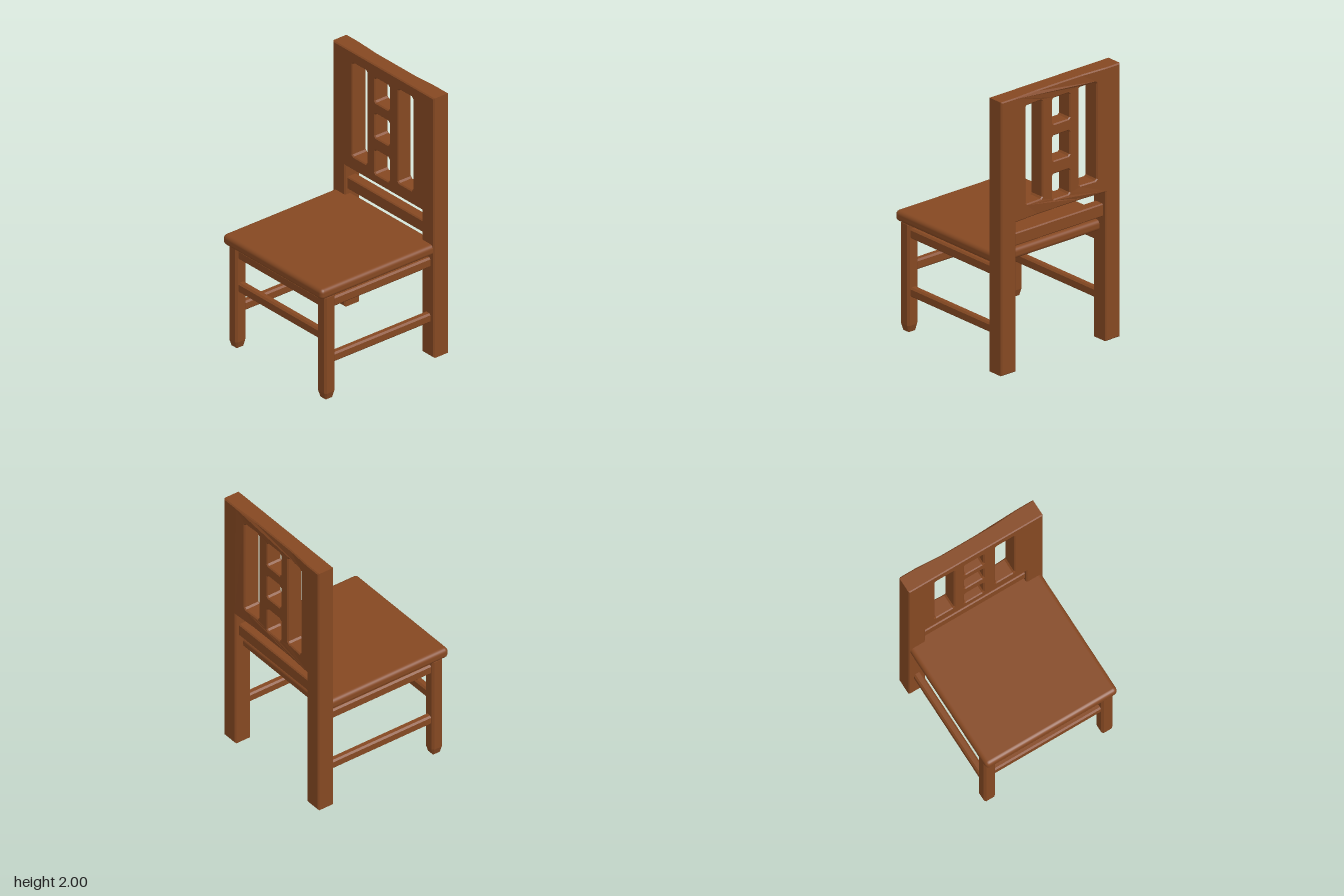
import * as THREE from 'three';
import { RoundedBoxGeometry } from 'three/addons/geometries/RoundedBoxGeometry.js';

const wood = new THREE.MeshStandardMaterial({ color: 0x854822 });
wood.name = 'brown wood';

// Rectangle with cut corners, as a list of points
function cutRect(x0, y0, x1, y1, c) {
  return [
    [x0 + c, y0], [x1 - c, y0], [x1, y0 + c], [x1, y1 - c],
    [x1 - c, y1], [x0 + c, y1], [x0, y1 - c], [x0, y0 + c],
  ].map(([x, y]) => new THREE.Vector2(x, y));
}

// Chamfered bar running along z, centred on the origin
function barGeometry(width, height, length, cut) {
  const shape = new THREE.Shape(cutRect(-width / 2, -height / 2, width / 2, height / 2, cut));
  return new THREE.ExtrudeGeometry(shape, { depth: length, bevelEnabled: false }).translate(0, 0, -length / 2);
}

// Back posts and pierced panel in one board, hollowed slightly at the rear
function backGeometry() {
  const outline = [
    [-0.53, 0], [-0.4, 0], [-0.4, 1.09], [-0.2, 1.09], [0.2, 1.09], [0.4, 1.09], [0.4, 0], [0.53, 0],
    [0.53, 2], [0.4, 2], [0.2, 2], [-0.2, 2], [-0.4, 2], [-0.53, 2],
  ].map(([x, y]) => new THREE.Vector2(x, y));
  const shape = new THREE.Shape(outline);
  const holes = [
    [-0.325, 1.195, -0.172, 1.915], [0.155, 1.195, 0.306, 1.915],
    [-0.09, 1.16, 0.062, 1.345], [-0.09, 1.44, 0.062, 1.625], [-0.09, 1.71, 0.062, 1.9],
  ];
  for (const h of holes) shape.holes.push(new THREE.Path(cutRect(...h, 0.012).reverse()));

  const bevel = 0.008;
  const geometry = new THREE.ExtrudeGeometry(shape, {
    depth: 0.13 - 2 * bevel, bevelThickness: bevel, bevelSize: bevel, bevelOffset: -bevel, bevelSegments: 1,
  });
  geometry.translate(0, 0, bevel - 0.555);
  const p = geometry.attributes.position;
  for (let i = 0; i < p.count; i++) {
    const dip = THREE.MathUtils.clamp((0.4 - Math.abs(p.getX(i))) / 0.2, 0, 1);
    if (p.getZ(i) < -0.49) p.setZ(i, p.getZ(i) + 0.012 * dip);
  }
  geometry.computeVertexNormals();
  return geometry;
}

export function createModel() {
  const chair = new THREE.Group();
  chair.name = 'chair';
  const add = (name, geometry, x = 0, y = 0, z = 0) => {
    const mesh = new THREE.Mesh(geometry, wood);
    mesh.name = name;
    mesh.position.set(x, y, z);
    chair.add(mesh);
    return mesh;
  };

  add('backrest', backGeometry());
  add('seat', new RoundedBoxGeometry(1.04, 0.08, 1.045, 3, 0.03), 0, 0.825, 0.0325);

  // Rail between the back posts
  add('backRail', barGeometry(0.08, 0.095, 0.84, 0.008), 0, 0.95, -0.485).rotation.y = Math.PI / 2;

  // Front legs with tapered feet; the upper taper sits inside the seat
  const legShape = new THREE.Shape(cutRect(-0.045, -0.045, 0.045, 0.045, 0.014));
  const legGeometry = new THREE.ExtrudeGeometry(legShape, {
    depth: 0.735, bevelThickness: 0.05, bevelSize: 0.014, bevelOffset: -0.014, bevelSegments: 1,
  });
  legGeometry.translate(0, 0, 0.05).rotateX(-Math.PI / 2);

  for (const [side, s] of [['left', 1], ['right', -1]]) {
    add(side + 'FrontLeg', legGeometry, s * 0.465, 0, 0.468);
    add(side + 'UpperStretcher', barGeometry(0.055, 0.075, 0.9, 0.012), s * 0.465, 0.722, 0.005);
    add(side + 'LowerStretcher', barGeometry(0.055, 0.07, 0.9, 0.012), s * 0.465, 0.293, 0.005);
  }

  // Stretchers between the front legs
  for (const [name, y] of [['frontUpperStretcher', 0.722], ['frontLowerStretcher', 0.468]]) {
    add(name, barGeometry(0.055, 0.075, 0.88, 0.012), 0, y, 0.468).rotation.y = Math.PI / 2;
  }
  return chair;
}
